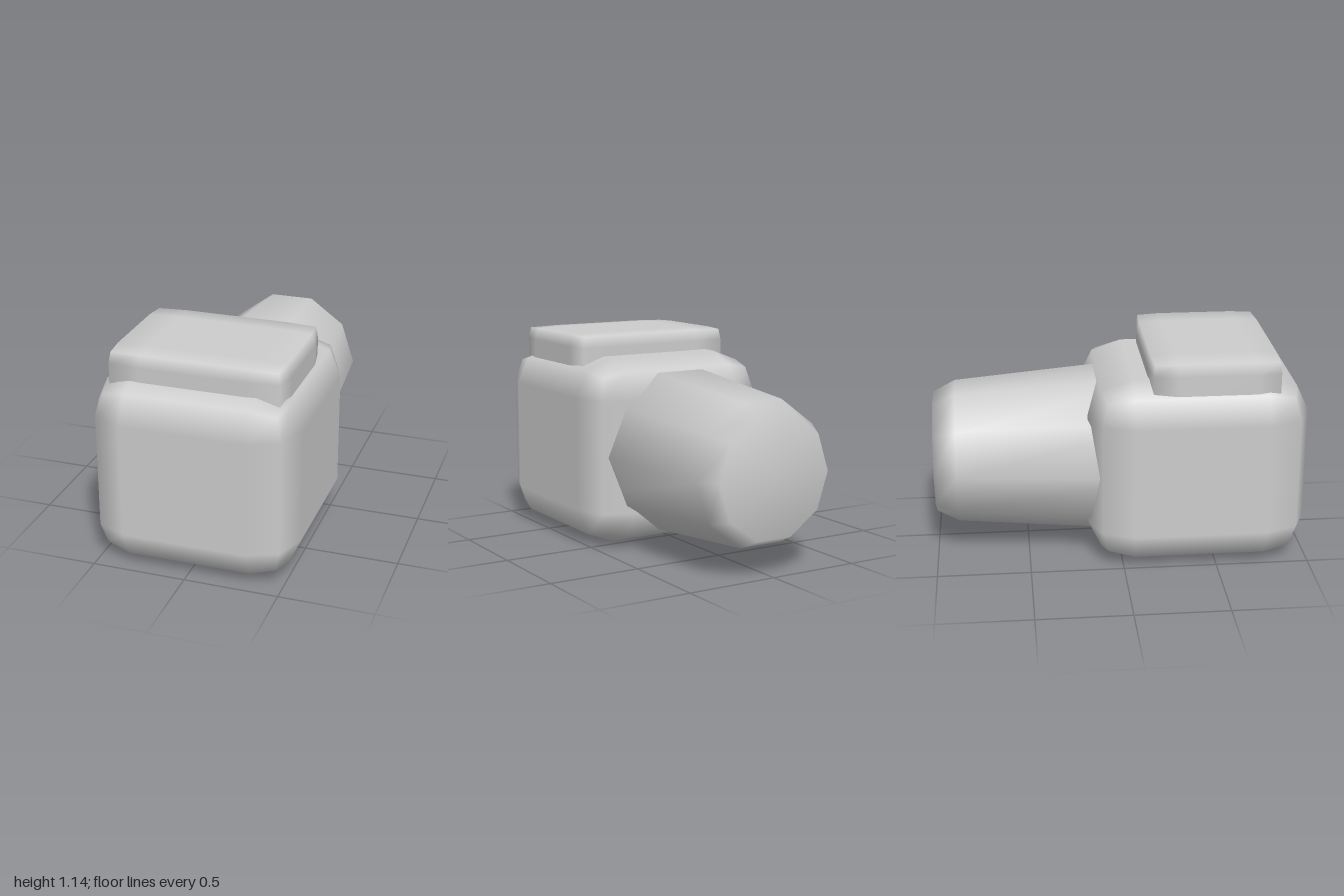
import * as THREE from 'three';
import { RoundedBoxGeometry } from 'three/addons/geometries/RoundedBoxGeometry.js';

// Unit cube with a two-step bevel on every edge; bulge pushes the middle
// of the bevel outwards for a squarer, boxier rounding.
function bevelledCube(bulge) {
  const geometry = new RoundedBoxGeometry(1, 1, 1, 1, 0.2);
  const position = geometry.attributes.position;
  const push = (v) => {
    const a = Math.abs(v);
    return a > 0.31 && a < 0.49 ? Math.sign(v) * (a + (0.5 - a) * bulge) : v;
  };
  for (let i = 0; i < position.count; i++) {
    position.setXYZ(i, push(position.getX(i)), push(position.getY(i)), push(position.getZ(i)));
  }
  return geometry;
}

export function createModel() {
  const group = new THREE.Group();
  const grey = new THREE.MeshStandardMaterial({ color: 0xcccccc });
  grey.name = 'light grey';

  const add = (name, geometry, position, scale = [1, 1, 1]) => {
    const mesh = new THREE.Mesh(geometry, grey);
    mesh.name = name;
    mesh.position.set(...position);
    mesh.scale.set(...scale);
    group.add(mesh);
  };

  // Main block
  add('body', bevelledCube(0), [0, 0.51, 0.41], [1.1, 1.02, 1.18]);

  // Squarer slab sunk into the top of the body
  add('topPlate', bevelledCube(0.6), [0, 0.965, 0.49], [0.94, 0.35, 0.7]);

  // Ten-sided tapered barrel with a bevelled end, pointing backwards
  const profile = [[0, -0.2], [0.483, -0.2], [0.39, 0.88], [0.33, 1], [0, 1]]
    .map(([r, y]) => new THREE.Vector2(r, y));
  const barrel = new THREE.LatheGeometry(profile, 10, Math.PI / 2);
  barrel.rotateX(-Math.PI / 2);
  add('rearBarrel', barrel, [0, 0.513, 0]);

  return group;
}
